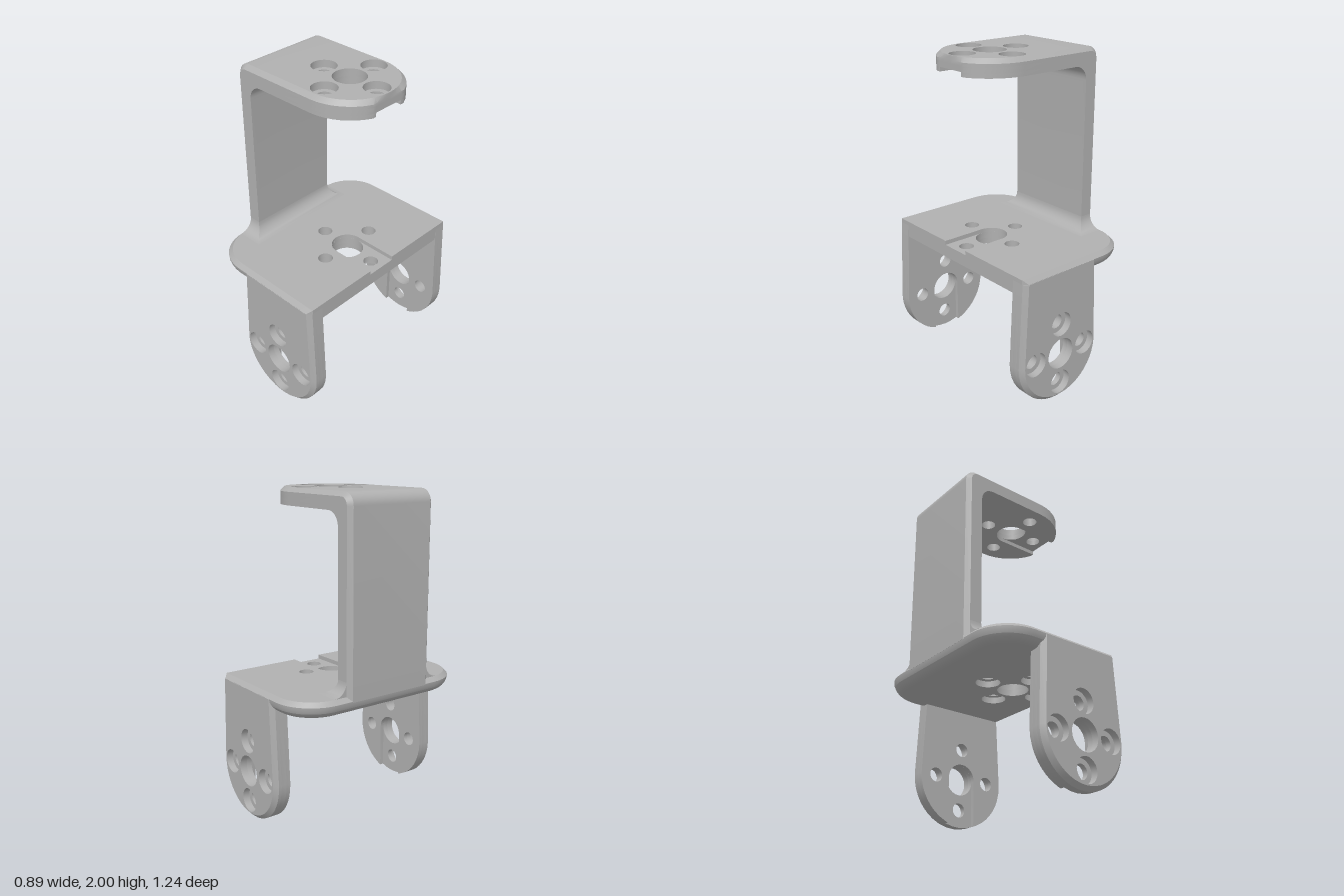
import * as THREE from 'three';
import { toCreasedNormals } from 'three/addons/utils/BufferGeometryUtils.js';

const RAD = Math.PI / 180;
const T = 0.105;       // plate thickness
const C = 0.026;       // chamfer size and groove depth
const R = 0.305;       // radius of the rounded tabs
const HUB = 0.098;     // centre hole radius and groove half width
const CX = 0.138, CZ = 0.013; // hole pattern centre
const TIP = 0.28;      // flat cut in front of the hole centre

const P = (x, y) => new THREE.Vector2(x, y);

// points on an arc, angles in degrees
function arc(cx, cy, r, from, to, n = 10) {
  const pts = [];
  for (let i = 0; i <= n; i++) {
    const a = (from + (to - from) * i / n) * RAD;
    pts.push(P(cx + r * Math.cos(a), cy + r * Math.sin(a)));
  }
  return pts;
}

// solid through outline rings [w, points], pierced by straight holes, capped at both ends
function loft(rings, holes = []) {
  const pos = [];
  const put = (p, w) => pos.push(p.x, p.y, w);
  const wall = (p, wp, q, wq) => p.forEach((a, i) => {
    const j = (i + 1) % p.length;
    put(a, wp); put(p[j], wp); put(q[j], wq);
    put(a, wp); put(q[j], wq); put(q[i], wq);
  });
  const cap = ([w, pts], up) => {
    const all = [pts, ...holes].flat();
    for (const [i, j, k] of THREE.ShapeUtils.triangulateShape(pts.slice(), holes.map(h => h.slice()))) {
      const a = all[i], b = all[j], c = all[k];
      const ccw = (b.x - a.x) * (c.y - a.y) - (b.y - a.y) * (c.x - a.x) > 0;
      for (const p of ccw === up ? [a, b, c] : [a, c, b]) put(p, w);
    }
  };
  const last = rings[rings.length - 1];
  for (let i = 0; i + 1 < rings.length; i++) wall(rings[i][1], rings[i][0], rings[i + 1][1], rings[i + 1][0]);
  for (const h of holes) wall(h, rings[0][0], h, last[0]);
  cap(rings[0], false);
  cap(last, true);
  const g = new THREE.BufferGeometry();
  g.setAttribute('position', new THREE.Float32BufferAttribute(pos, 3));
  return toCreasedNormals(g, 35 * RAD);
}

// clockwise hole loops: four screws (or the three outside the groove) and the hub
const hole = (x, y, r) => arc(x, y, r, 360, 15, 23);
const screws = r => [[-0.195, 0], [0, 0.195], [0, -0.195], [0.195, 0]].map(([x, y]) => hole(x, y, r));
const grooveHoles = screws(0.045).slice(0, 3);
const smallHoles = [...screws(0.045), hole(0, 0, HUB)];
const boreHoles = [...screws(0.076), hole(0, 0, HUB)];

// cuts the groove, running from the hub to the +x end, into an open outline
const notch = open => [...open, ...arc(0, 0, HUB, 270, 90, 20)];

// round-ended tab; d insets the edge, the tail stays at x = -length
function tabOutline(length, tailHalf, clip, d) {
  const at = a => P(Math.min((R - d) * Math.cos(a * RAD), clip), (R - d) * Math.sin(a * RAD));
  const side = [18.74, 23.36, 32, 40, 48, 56, 64, 72, 81, 90];
  const open = [...side.map(at), P(-length, tailHalf - d), P(-length, d - tailHalf),
    ...side.slice().reverse().map(a => at(-a))];
  return { open, full: [...open, ...[-9.4, 0, 9.4].map(at)] };
}

// grooved inner face, screw holes, then counterbores up to a chamfered outer face
function tabLayers(length, tailHalf, clip) {
  const o = tabOutline(length, tailHalf, clip, 0);
  const inset = tabOutline(length, tailHalf, clip, C);
  const g = notch(o.open);
  return [
    loft([[0, g], [C, g]], grooveHoles),
    loft([[C, o.full], [0.06, o.full]], smallHoles),
    loft([[0.06, o.full], [T - C, o.full], [T, inset.full]], boreHoles),
  ];
}

// middle plate: flat front edge, two rounded back corners
function plateOutline(d) {
  const z = 0.62 - d, zc = Math.min(0.593, z), x = 0.253 + Math.min(d, C);
  return [
    P(TIP, HUB), P(TIP, zc - CZ), P(x, z - CZ),
    ...arc(-0.195 - CX, 0.37 - CZ, 0.25 - d, 90, 180),
    ...arc(-0.195 - CX, -0.37 - CZ, 0.25 - d, 180, 270),
    P(x, -z - CZ), P(TIP, -zc - CZ), P(TIP, -HUB),
  ];
}

function plateLayers() {
  // rounded lower edge
  const ring = t => [C + 0.079 * Math.sin(t * RAD), plateOutline(0.08 * (1 - Math.cos(t * RAD)))];
  return [
    loft([[0, notch(plateOutline(C))], [C, notch(plateOutline(0))]], grooveHoles),
    loft([0, 15, 30].map(ring), smallHoles),
    loft([30, 42, 54, 66, 78, 90].map(ring), boreHoles),
  ];
}

// back wall with its upper bend; d insets only the outer side
function wallProfile(d) {
  return [
    P(-0.2, 2 - d),
    ...arc(-0.37, 1.925, 0.075 - d, 90, 180, 8),
    P(-0.445 + d, 0.83), P(-0.34, 0.83),
    ...arc(-0.253, 1.808, 0.087, 180, 90, 8),
    P(-0.2, 1.895),
  ];
}

// mitred concave fillet around the foot of the wall
function footFillet() {
  const r = 0.085, rings = [];
  for (let i = 0; i <= 8; i++) {
    const t = i / 8 * Math.PI / 2;
    const o = r * (1 - Math.sin(t)), z = R + o;
    rings.push([0.862 + r * (1 - Math.cos(t)),
      [P(-0.418, -z), P(-0.34 + o, -z), P(-0.34 + o, z), P(-0.418, z)]]);
  }
  return loft(rings);
}

export function createModel() {
  const model = new THREE.Group();
  model.name = 'servoBracket';
  const grey = new THREE.MeshStandardMaterial({ color: 0xb0b0b0 });
  grey.name = 'plain grey';

  const part = (name, geometries, position, rotation) => {
    const group = new THREE.Group();
    group.name = name;
    geometries.forEach((g, i) => {
      const mesh = new THREE.Mesh(g, grey);
      mesh.name = geometries.length > 1 ? name + ['Inner', 'Middle', 'Outer'][i] : name + 'Body';
      group.add(mesh);
    });
    group.position.set(...position);
    group.rotation.set(...rotation);
    model.add(group);
  };

  const Q = Math.PI / 2;
  part('topPlate', tabLayers(0.338, R, TIP), [CX, 1.895, CZ], [-Q, 0, 0]);
  part('backWall', [loft([[-R, wallProfile(C)], [C - R, wallProfile(0)],
    [R - C, wallProfile(0)], [R, wallProfile(C)]])], [0, 0, CZ], [0, 0, 0]);
  part('wallFoot', [footFillet()], [0, 0, CZ], [-Q, 0, 0]);
  part('middlePlate', plateLayers(), [CX, 0.862, CZ], [Q, 0, 0]);

  // the two hanging legs, grooved on their inner faces
  const leg = tabLayers(0.53, TIP, 1).map(g => g.rotateZ(-Q));
  part('frontLeg', leg, [CX, R, 0.517], [0, 0, 0]);
  part('backLeg', leg, [CX, R, -0.517], [0, Math.PI, 0]);
  return model;
}
